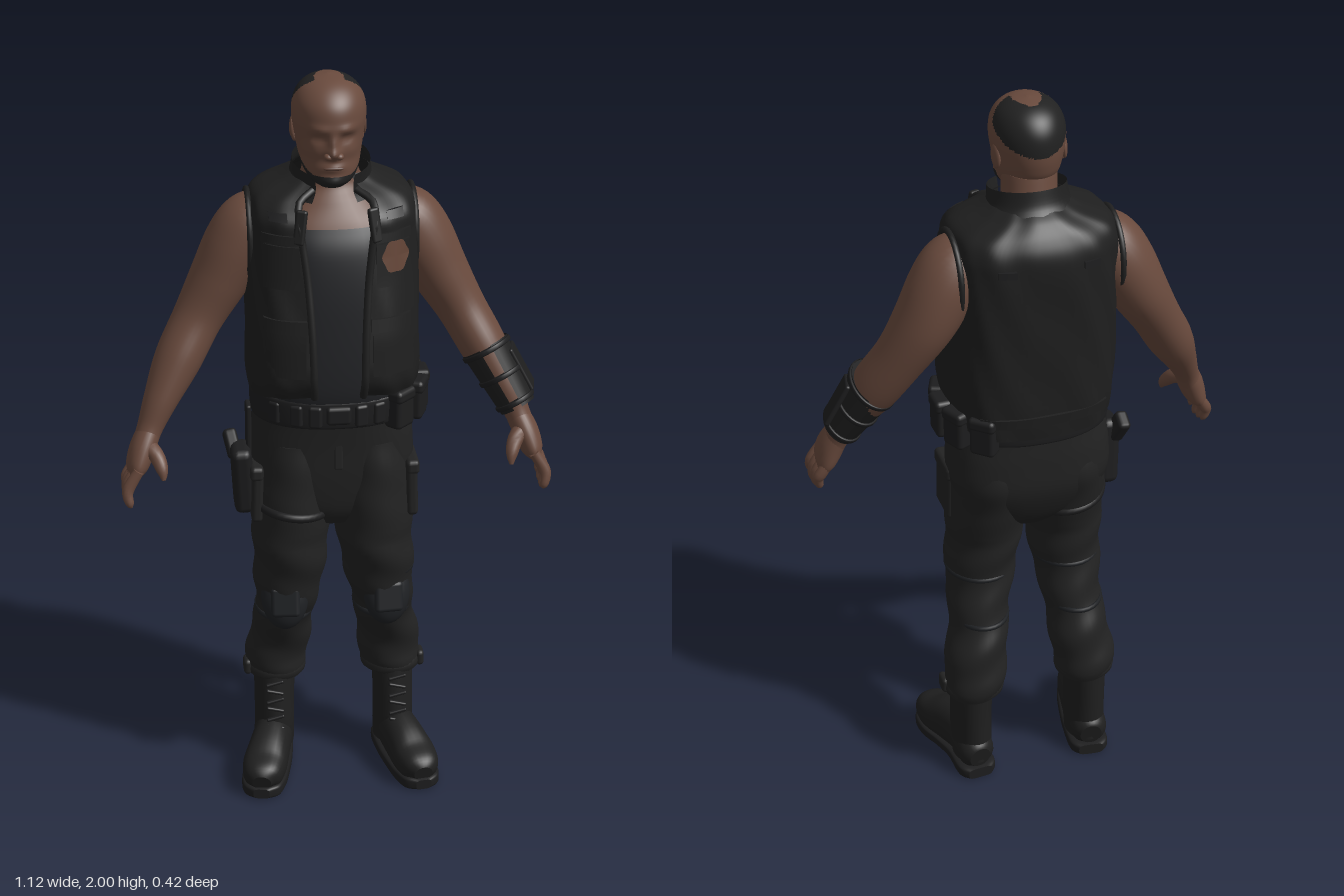
import * as THREE from 'three';
import { RoundedBoxGeometry } from 'three/addons/geometries/RoundedBoxGeometry.js';

const V = (x, y, z) => new THREE.Vector3(x, y, z);
const mat = (name, color, side = THREE.FrontSide) => {
  const m = new THREE.MeshStandardMaterial({ color, side });
  m.name = name;
  return m;
};

// Row: [x, y, z, radius across, radius along up, roundness, front gap angle]
const full = (r) => [r[0], r[1], r[2], r[3], r[4], r[5] ?? 2, r[6] ?? 0];
function sample(rows, f) {
  const i = Math.min(Math.floor(f), rows.length - 2), t = f - i;
  const at = (k) => full(rows[Math.max(0, Math.min(rows.length - 1, k))]);
  const [a, b, c, d] = [at(i - 1), at(i), at(i + 1), at(i + 2)];
  return b.map((p, k) => p + 0.5 * t * (c[k] - a[k] + t * (2 * a[k] - 5 * p + 4 * c[k] - d[k]
    + t * (3 * (p - c[k]) + d[k] - a[k]))));
}
const curvePow = (v, n) => Math.sign(v) * Math.abs(v) ** (2 / n);

// Skins smooth cross-sections along a path; pick() sorts faces into materials
function loft(rows, { sides = 28, steps = 5, up = V(0, 0, 1), flat = false, open = false, mod, pick } = {}) {
  const pos = [], lists = [[], []], count = (rows.length - 1) * steps, W = sides + 1;
  const tri = (...q) => {
    const c = V(0, 0, 0);
    q.forEach((k) => c.add(V(pos[k * 3], pos[k * 3 + 1], pos[k * 3 + 2])));
    lists[pick ? pick(c.multiplyScalar(1 / 3)) : 0].push(...q);
  };
  for (let j = 0; j <= count; j++) {
    const f = j / steps, r = sample(rows, f);
    const a = sample(rows, Math.max(0, f - 0.1)), b = sample(rows, Math.min(rows.length - 1, f + 0.1));
    const t = flat ? V(0, 1, 0) : V(b[0] - a[0], b[1] - a[1], b[2] - a[2]).normalize();
    const w = up.clone().addScaledVector(t, -up.dot(t)).normalize(), u = t.clone().cross(w);
    for (let i = 0; i <= sides; i++) {
      const th = r[6] + (2 * Math.PI - 2 * r[6]) * (i % (open ? W : sides)) / sides;
      const p = V(r[0], r[1], r[2]).addScaledVector(u, r[3] * curvePow(Math.sin(th), r[5]))
        .addScaledVector(w, r[4] * curvePow(Math.cos(th), r[5]));
      if (mod) mod(p, th);
      pos.push(p.x, p.y, p.z);
    }
  }
  const id = (j, i) => j * W + (open ? i : i % sides);
  for (let j = 0; j < count; j++) for (let i = 0; i < sides; i++) {
    tri(id(j, i), id(j, i + 1), id(j + 1, i + 1));
    tri(id(j, i), id(j + 1, i + 1), id(j + 1, i));
  }
  if (!open) for (const j of [0, count]) {
    const base = pos.length / 3, c = V(0, 0, 0);
    for (let i = 0; i < sides; i++) {
      const p = pos.slice(id(j, i) * 3, id(j, i) * 3 + 3);
      pos.push(...p);
      c.add(V(...p));
    }
    c.multiplyScalar(1 / sides);
    pos.push(c.x, c.y, c.z);
    for (let i = 0; i < sides; i++) {
      const a = base + i, b = base + (i + 1) % sides;
      j ? tri(a, b, base + sides) : tri(b, a, base + sides);
    }
  }
  const g = new THREE.BufferGeometry();
  g.setAttribute('position', new THREE.Float32BufferAttribute(pos, 3));
  g.setIndex([...lists[0], ...lists[1]]);
  if (pick) { g.addGroup(0, lists[0].length, 0); g.addGroup(lists[0].length, lists[1].length, 1); }
  g.computeVertexNormals();
  return g;
}

const vestRows = [
  [0, 1.12, -.005, .214, .182, 2.8, .18], [0, 1.2, 0, .223, .197, 2.8, .18], [0, 1.35, -.008, .222, .197, 2.9, .18],
  [0, 1.5, -.024, .22, .188, 2.9, .22], [0, 1.6, -.032, .216, .184, 2.9, .28], [0, 1.655, -.034, .213, .178, 2.9, .32],
  [0, 1.695, -.044, .196, .15, 2.6, .38], [0, 1.728, -.048, .13, .118, 2.2, .42], [0, 1.745, -.045, .1, .095, 2, .45]];
const hemLift = (y, th) => .075 * Math.max(0, (1.3 - y) / .18) * (.5 + .5 * Math.cos(th));

// Depth of the vest surface at (x, y); side +1 front, -1 back
function vestZ(x, y, side) {
  let i = 0;
  while (i < vestRows.length - 2 && vestRows[i + 1][1] < y) i++;
  const a = vestRows[i], b = vestRows[i + 1], t = (y - a[1]) / (b[1] - a[1]);
  const r = a.map((v, k) => v + (b[k] - v) * t);
  return r[2] + side * r[4] * Math.max(.02, 1 - Math.min(1, Math.abs(x) / r[3]) ** r[5]) ** (1 / r[5]);
}
function onVest(g, x, y, side = 1, off = 0) {
  const p = g.attributes.position;
  for (let i = 0; i < p.count; i++) {
    const px = p.getX(i) + x, py = p.getY(i) + y;
    p.setXYZ(i, px, py, p.getZ(i) + vestZ(px, py, side) + side * off);
  }
  g.computeVertexNormals();
  return g;
}

export function createModel() {
  const root = new THREE.Group();
  const skin = mat('skin', 0x694a3d), hair = mat('hair', 0x212121), vest = mat('vest cloth', 0x1f1f1f, THREE.DoubleSide);
  const shirt = mat('shirt', 0x222326), pants = mat('trouser cloth', 0x222222), gear = mat('gear', 0x1d1d1e);
  const leather = mat('boot leather', 0x1f1f1f), pad = mat('knee pad', 0x1f2124);
  const badgeMat = mat('badge', 0x644537, THREE.DoubleSide), lip = mat('lips', 0x5a3f35);
  const add = (name, g, m, p = [0, 0, 0], r = [0, 0, 0], s = [1, 1, 1]) => {
    const o = new THREE.Mesh(g, m);
    o.name = name;
    o.position.set(...p); o.rotation.set(...r); o.scale.set(...s);
    root.add(o);
  };
  const ball = new THREE.SphereGeometry(1, 24, 16);
  const box = (w, h, d, r = .012) => new RoundedBoxGeometry(w, h, d, 2, r);
  const tube = (pts, r) => new THREE.TubeGeometry(new THREE.CatmullRomCurve3(pts.map((p) => V(...p))), 32, r, 8);

  // Head: [x, y, reach x, reach y, push] shape the face
  const bumps = [[0, 1.828, .018, .014, .022], [0, 1.852, .012, .022, .014], [0, 1.79, .03, .011, .007], [0, 1.752, .03, .015, .008]];
  for (const s of [-1, 1]) bumps.push([s * .035, 1.888, .026, .011, .007], [s * .036, 1.864, .018, .01, -.011],
    [s * .05, 1.83, .02, .018, .005], [s * .036, 1.863, .01, .006, .005]);
  const face = (p) => {
    if (p.z < .04) return;
    for (const [x, y, rx, ry, d] of bumps) p.z += d * Math.exp(-(((p.x + .008 - x) / rx) ** 2) - ((p.y - y) / ry) ** 2);
  };
  const isHair = ({ x, y, z }) => {
    const bald = z > -.05 && Math.abs(x + .008) < .037 * Math.min(1, Math.sqrt((z + .05) / .05));
    const crown = z < .03 && y > 1.94 + (z < 0 ? .5 : 1.6) * z && !bald;
    const beard = z > .015 && y < 1.768 + .45 * Math.max(0, .1 - z) && y < 1.8;
    return crown || beard ? 1 : 0;
  };
  add('head', loft([[-.008, 1.735, .075, .03, .03], [-.008, 1.75, .068, .052, .05], [-.008, 1.775, .042, .07, .08],
    [-.008, 1.81, .014, .08, .105], [-.008, 1.85, .005, .087, .115], [-.008, 1.9, .004, .094, .12],
    [-.008, 1.94, .003, .09, .113], [-.008, 1.972, 0, .073, .089], [-.008, 1.992, -.002, .043, .053],
    [-.008, 2, -.003, .004, .005]], { sides: 88, steps: 8, flat: true, mod: face, pick: isHair }), [skin, hair]);
  add('lips', ball, lip, [-.008, 1.79, .121], [0, 0, 0], [.026, .006, .008]);
  for (const s of [-1, 1]) {
    add('ear', ball, skin, [-.008 + s * .089, 1.86, -.022], [.2, s * .25, 0], [.008, .031, .02]);
    add('earLobe', ball, skin, [-.008 + s * .085, 1.834, -.014], [0, 0, 0], [.007, .012, .011]);
    add('nostril', ball, skin, [-.008 + s * .014, 1.822, .124], [0, 0, 0], [.011, .009, .013]);
  }

  // Neck, chest and shirt in one body
  add('torso', loft([[0, 1.1, -.01, .19, .15, 2.4], [0, 1.2, 0, .2, .172, 2.4], [0, 1.4, -.013, .2, .178, 2.4],
    [0, 1.55, -.03, .19, .172, 2.4], [0, 1.625, -.04, .18, .15, 2.3], [0, 1.68, -.045, .13, .118],
    [0, 1.73, -.04, .076, .082], [-.005, 1.82, -.022, .07, .076]],
  { sides: 40, steps: 8, flat: true, pick: (p) => (p.y > 1.625 ? 0 : 1) }), [skin, shirt]);

  // Open vest with raised hem, collar and front edges
  add('vest', loft(vestRows, { sides: 80, steps: 7, flat: true, open: true, mod: (p, th) => {
    const fold = .004 * Math.sin(th * 9 + p.y * 14) * Math.sin(p.y * 11 + th * 3);
    p.x *= 1 + fold * 3; p.z += fold * Math.sign(p.z);
    p.y += hemLift(p.y, th);
  } }), vest);
  add('collar', loft([[0, 1.705, -.035, .13, .12, 2, .46], [0, 1.735, -.028, .107, .106, 2, .46], [0, 1.778, -.018, .1, .104, 2, .52]],
    { sides: 40, open: true, flat: true, mod: (p) => { p.y -= .22 * (p.z + .03); } }), vest);
  for (const s of [-1, 1]) {
    const edge = [[s * .056, 1.715, .065]];
    for (let f = 6; f >= 0; f -= .5) {
      const r = sample(vestRows, f);
      edge.push([s * r[3] * curvePow(Math.sin(r[6]), r[5]), r[1] + hemLift(r[1], 0), r[2] + r[4] * curvePow(Math.cos(r[6]), r[5])]);
    }
    add('vestFrontEdge', tube(edge, .01), vest);
    add('lapel', box(.03, .09, .016, .007), vest, [s * .094, 1.645, .142], [-.2, s * .35, s * .14]);
    // Pockets, flaps, shoulder loops and armhole trim
    add('lowerPocket', onVest(new THREE.BoxGeometry(.1, .13, .014, 8, 6, 1), s * .135, 1.32), vest);
    add('lowerPocketFlap', onVest(new THREE.BoxGeometry(.106, .035, .022, 8, 3, 1), s * .135, 1.39), vest);
    add('chestPocket', onVest(new THREE.BoxGeometry(.09, .11, .012, 8, 6, 1), s * .142, 1.54), vest);
    add('chestFlap', onVest(new THREE.BoxGeometry(.096, .022, .02, 8, 2, 1), s * .142, 1.612), vest);
    add('shoulderLoop', onVest(new THREE.BoxGeometry(.045, .018, .018, 4, 2, 1), s * .148, 1.665), gear);
    add('backLoop', onVest(new THREE.BoxGeometry(.045, .018, .016, 4, 2, 1), s * .11, 1.625, -1), gear);
    add('armholeTrim', new THREE.TorusGeometry(.108, .008, 8, 36), vest, [s * .212, 1.565, -.052], [0, Math.PI / 2, 0], [.95, 1.08, 1]);
  }
  add('backHemBand', onVest(new THREE.BoxGeometry(.34, .028, .012, 20, 2, 1), 0, 1.18, -1), vest);
  const crest = new THREE.CircleGeometry(.037, 32), cp = crest.attributes.position;
  for (let i = 1; i < cp.count; i++) {
    const k = 1 + .06 * Math.cos(6 * Math.atan2(cp.getY(i), cp.getX(i)));
    cp.setXY(i, cp.getX(i) * k * .95, cp.getY(i) * k * 1.12);
  }
  add('badge', onVest(crest, .147, 1.562, 1, .011), badgeMat);

  // Arms, hands and fingers
  for (const s of [-1, 1]) {
    const arm = (rows) => rows.map(([x, ...r]) => [s * x, ...r]);
    add('arm', loft(arm([[.16, 1.61, -.052, .07, .075], [.2, 1.59, -.056, .086, .092], [.238, 1.535, -.06, .087, .1],
      [.287, 1.445, -.058, .077, .096], [.345, 1.345, -.039, .065, .079], [.402, 1.245, .002, .061, .075],
      [.45, 1.155, .045, .045, .057], [.48, 1.09, .07, .034, .042], [.494, 1.055, .083, .032, .043]]), { sides: 32, steps: 7 }), skin);
    add('palm', loft(arm([[.482, 1.085, .073, .03, .038], [.502, 1.04, .09, .034, .05], [.519, .995, .102, .029, .056],
      [.53, .972, .108, .015, .047]])), skin);
    for (let i = 0; i < 4; i++) {
      const z = .062 + .03 * i, drop = [.015, .004, 0, .01][i];
      add('finger', loft(arm([[.516, 1, z, .014, .014], [.54, .962, z + .004, .016, .0145], [.547, .93 + drop, z + .01, .014, .013],
        [.542, .906 + drop, z + .016, .011, .011], [.538, .896 + drop, z + .018, .003, .003]]), { sides: 12, steps: 3 }), skin);
    }
    add('thumb', loft(arm([[.5, 1.055, .095, .024, .024], [.47, 1.035, .13, .021, .021], [.456, 1.005, .158, .016, .016],
      [.453, .98, .172, .005, .005]]), { sides: 12, steps: 4 }), skin);
  }
  // Forearm guard laced open over the skin, on the left arm only
  const guard = (t, k, gap = 0) => [.395 + .092 * t, 1.265 - .17 * t, .003 + .066 * t, .066 - .018 * t + k, .083 - .022 * t + k, 2, gap];
  add('forearmGuard', loft([guard(.08, 0, .25), guard(.5, 0, .25), guard(.97, 0, .25)], { open: true }), vest);
  for (const t of [.1, .48, .86]) add('guardStrap', loft([guard(t, 0), guard(t + .01, .005), guard(t + .06, .005), guard(t + .07, 0)]), gear);
  add('guardPlate', box(.014, .13, .07, .006), gear, [.496, 1.2, .035], [0, -.2, .5]);

  // Trousers
  const creases = (p, th) => {
    const k = Math.sin(p.y * 47 + 2 * Math.sin(th)) * .003 * (p.y < .75 ? 1.2 : .4);
    p.z += k * Math.cos(th); p.x += k * Math.sin(th);
  };
  add('hips', loft([[0, .79, 0, .09, .085], [0, .84, -.008, .175, .118, 2.3], [0, .93, -.02, .214, .144, 2.6],
    [0, 1.02, -.02, .215, .151, 2.6], [0, 1.1, -.015, .206, .155, 2.4], [0, 1.17, -.01, .202, .16, 2.4]], { sides: 40, flat: true }), pants);
  add('fly', box(.022, .12, .01, .004), pants, [.004, 1.03, .128], [-.06, 0, 0]);
  const drift = .012; // the lower legs stand slightly towards the left
  for (const s of [-1, 1]) {
    const lower = (rows) => rows.map(([x, ...r]) => [s * x + drift, ...r]);
    add('leg', loft([[.16, .27, -.078, .072, .075], [.159, .3, -.078, .083, .082], [.156, .34, -.076, .085, .085],
      [.145, .42, -.06, .083, .09], [.134, .5, -.028, .08, .1], [.124, .6, .004, .092, .106], [.114, .72, .014, .101, .118],
      [.109, .85, .002, .107, .134], [.106, .95, -.014, .102, .147], [.1, 1.03, -.014, .095, .14]]
      .map(([x, y, ...r]) => [s * x + drift * Math.min(1, Math.max(0, (.75 - y) / .35)), y, ...r]),
    { steps: 9, sides: 36, flat: true, mod: creases }), pants);
    add('cargoPocket', box(.03, .15, .12), pants, [s * .205, .88, .035], [0, 0, s * .03]);
    add('cargoFlap', box(.036, .04, .125), pants, [s * .206, .945, .035], [0, 0, s * .03]);
    // Knee pads
    add('kneePad', ball, pad, [s * .138 + .004, .57, .066], [-.22, s * .12, 0], [.064, .092, .043]);
    add('kneePlate', box(.078, .085, .026), pad, [s * .139 + .004, .57, .1], [-.2, s * .12, 0]);
    for (const [x, y, z, r] of [[.134, .5, -.027, .077], [.122, .635, .007, .091]]) add('kneeStrap', new THREE.TorusGeometry(1, .05, 8, 32),
      pad, [s * x + .006, y, z], [Math.PI / 2, 0, 0], [r, .101, .16]);
    add('ankleCuff', new THREE.TorusGeometry(1, .1, 8, 32), pants, [s * .16 + drift, .29, -.076], [Math.PI / 2, 0, 0], [.076, .075, .18]);
    add('cuffTab', box(.022, .045, .05), pants, [s * .24 + drift, .295, -.06]);
    // Boots with soles and laces
    add('bootShaft', loft(lower([[.166, .05, -.07, .054, .07], [.166, .12, -.062, .055, .08], [.166, .2, -.065, .055, .079],
      [.164, .3, -.072, .058, .075]]), { flat: true }), leather);
    add('bootFoot', loft(lower([[.163, .07, -.142, .03, .035], [.166, .075, -.115, .05, .055], [.173, .085, -.03, .053, .072],
      [.19, .078, .04, .056, .066, 2.3], [.208, .064, .1, .06, .052, 2.4], [.219, .058, .15, .05, .042, 2.4],
      [.223, .052, .174, .026, .024]]), { up: V(0, 1, 0) }), leather);
    add('bootSole', loft(lower([[.163, .02, -.146, .035, .016, 4], [.166, .02, -.115, .054, .018, 5], [.173, .02, -.03, .054, .016, 5],
      [.19, .02, .04, .058, .016, 5], [.209, .02, .1, .062, .018, 5], [.22, .02, .155, .05, .018, 5],
      [.224, .02, .178, .022, .014, 4]]), { up: V(0, 1, 0) }), gear);
    for (let i = 0; i < 6; i++) add('bootLace', box(.05, .009, .012, .004), gear,
      [s * .17 + drift, .14 + i * .025, .026 - i * .004], [0, 0, (i % 2 ? 1 : -1) * .25]);
  }

  // Belt, buckle and pouches
  const beltPoint = (a, out) => [(.212 + out) * Math.sin(a), 1.135, -.01 + (.168 + out) * Math.cos(a)];
  add('belt', loft([[0, 1.1, -.01, .208, .165, 2.3], [0, 1.105, -.01, .215, .175, 2.3], [0, 1.168, -.008, .215, .176, 2.3],
    [0, 1.173, -.008, .207, .165, 2.3]], { sides: 48, flat: true }), gear);
  add('buckle', box(.065, .05, .02), gear, [0, 1.14, .17]);
  for (const a of [.8, 1.2, 1.6, 2, 2.4]) {
    add('pouch', box(.07, .105, .052), gear, beltPoint(a, .016), [0, a, 0]);
    add('pouchFlap', box(.074, .035, .058), gear, beltPoint(a, .017).map((v, i) => v + (i === 1 ? .038 : 0)), [0, a, 0]);
  }
  for (const a of [-.8, -.5, -.27, .27, .5]) add('smallPouch', box(.035, .06, .025, .008), gear, beltPoint(a, .008), [0, a, 0]);

  // Thigh holster on the right leg
  add('holster', box(.055, .19, .09, .02), gear, [-.24, .915, .03], [.1, 0, .06]);
  add('holsterGrip', box(.036, .08, .055), gear, [-.264, .995, -.005], [-.5, 0, .2]);
  add('holsterHanger', box(.014, .14, .05, .006), gear, [-.222, 1.05, .015]);
  add('thighStrap', new THREE.TorusGeometry(1, .06, 8, 40), gear, [-.11, .835, .006], [Math.PI / 2, -.14, 0], [.107, .133, .2]);
  return root;
}
